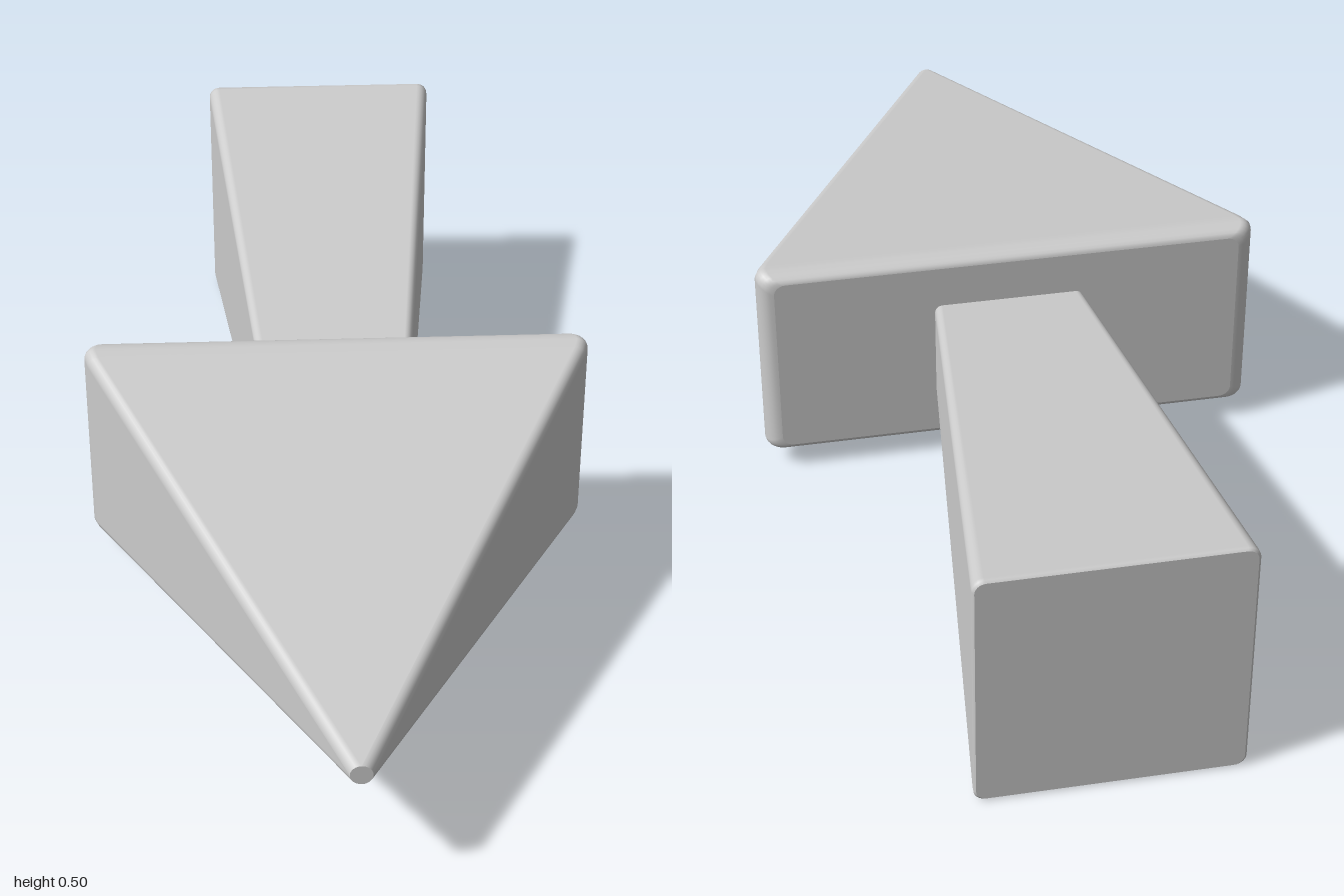
import * as THREE from 'three';

const CORNER_STEPS = 6;
const MID_Y = 0.25;

// Rounded rectangle outline, counter-clockwise seen from +z
function ring([z, halfW, halfH, r]) {
  const pts = [];
  [[1, 1], [-1, 1], [-1, -1], [1, -1]].forEach(([sx, sy], q) => {
    for (let k = 0; k <= CORNER_STEPS; k++) {
      const a = (q + k / CORNER_STEPS) * Math.PI / 2;
      pts.push([sx * (halfW - r) + r * Math.cos(a), MID_Y + sy * (halfH - r) + r * Math.sin(a), z]);
    }
  });
  return pts;
}

// Skin sections [z, halfWidth, halfHeight, cornerRadius] from front to back and cap both ends
function loft(sections) {
  const pos = [], idx = [];
  const rings = sections.map(ring);
  const n = rings[0].length;
  rings.forEach(r => r.forEach(p => pos.push(...p)));
  for (let i = 0; i < rings.length - 1; i++) {
    for (let j = 0; j < n; j++) {
      const a = i * n + j, b = i * n + (j + 1) % n;
      idx.push(a, a + n, b, b, a + n, b + n);
    }
  }
  const cap = (r, front) => {
    const c = pos.length / 3;
    pos.push(0, MID_Y, r[0][2]);
    r.forEach(p => pos.push(...p));
    for (let j = 0; j < n; j++) {
      const a = c + 1 + j, b = c + 1 + (j + 1) % n;
      idx.push(c, front ? a : b, front ? b : a);
    }
  };
  cap(rings[0], true);
  cap(rings[rings.length - 1], false);
  const geo = new THREE.BufferGeometry();
  geo.setAttribute('position', new THREE.Float32BufferAttribute(pos, 3));
  geo.setIndex(idx);
  geo.computeVertexNormals();
  return geo;
}

export function createModel() {
  const group = new THREE.Group();
  const material = new THREE.MeshStandardMaterial({ color: 0xcccccc });
  const add = (name, sections) => {
    const mesh = new THREE.Mesh(loft(sections), material);
    mesh.name = name;
    group.add(mesh);
  };

  // Pyramid head with a small blunt tip and a rolled-over back edge
  const head = [[1, 0.02, 0.02, 0.02], [0.025, 0.481, 0.207, 0.022]];
  for (let k = 0; k <= 6; k++) {
    const a = k / 6 * Math.PI / 2;
    head.push([0.003 - 0.038 * Math.sin(a), 0.456 + 0.032 * Math.cos(a), 0.193 + 0.018 * Math.cos(a), 0.022]);
  }
  add('arrowHead', head);

  // Shaft flaring toward the rear, its front end sunk in the head
  add('shaft', [
    [0, 0.143, 0.102, 0.015],
    [-0.988, 0.242, 0.249, 0.022],
    [-0.996, 0.242, 0.25, 0.022],
    [-1, 0.238, 0.246, 0.02],
  ]);
  return group;
}
